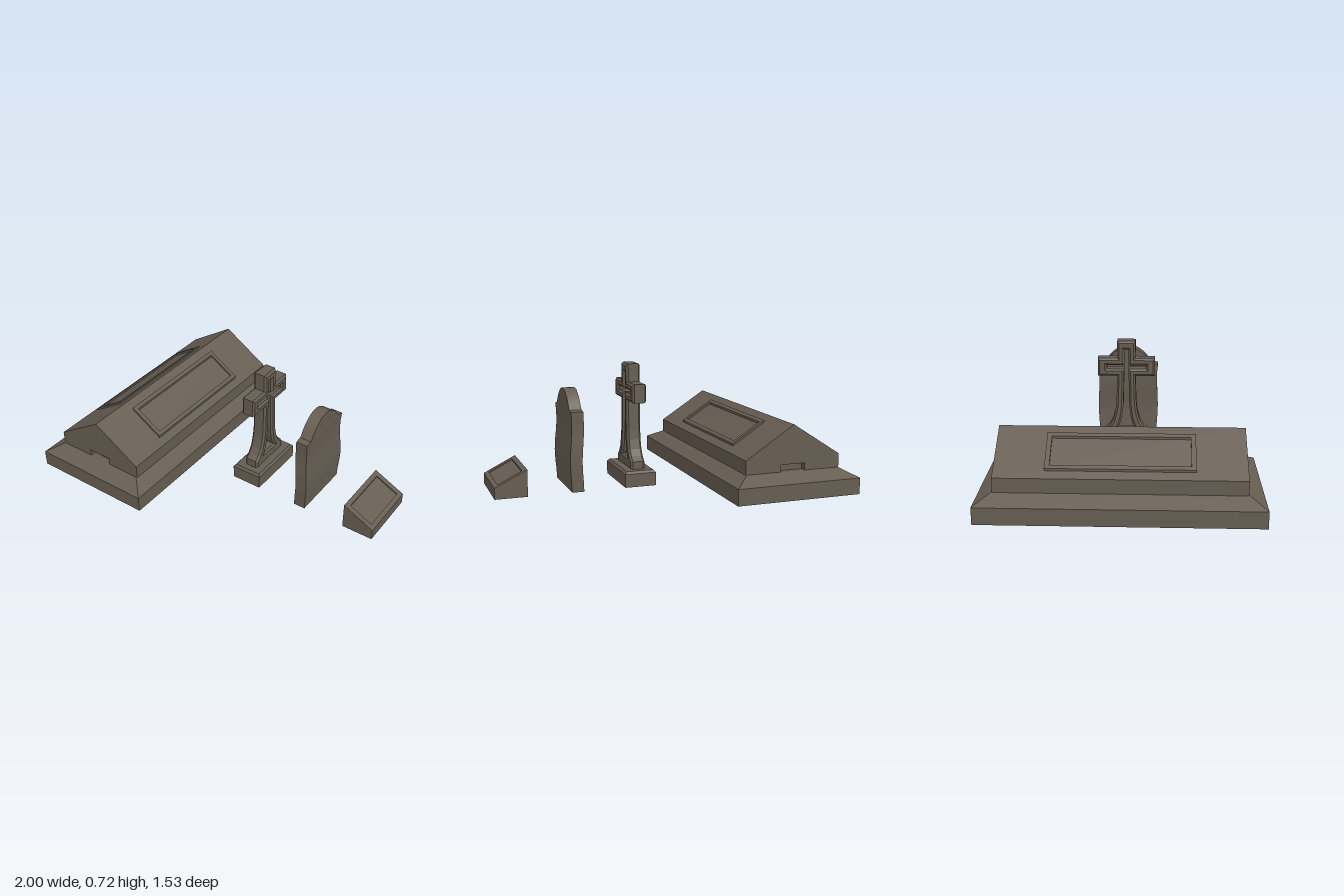
import * as THREE from 'three';
import { toCreasedNormals } from 'three/addons/utils/BufferGeometryUtils.js';

const stone = new THREE.MeshStandardMaterial({ color: 0x665d52 });
stone.name = 'weathered stone';

function add(parent, name, geometry, x = 0, y = 0, z = 0) {
  const mesh = new THREE.Mesh(geometry, stone);
  mesh.name = name;
  mesh.position.set(x, y, z);
  parent.add(mesh);
  return mesh;
}

// Moves every vertex of a geometry by a rule
function reshape(geometry, rule) {
  const p = geometry.attributes.position;
  const v = new THREE.Vector3();
  for (let i = 0; i < p.count; i++) {
    rule(v.fromBufferAttribute(p, i));
    p.setXYZ(i, v.x, v.y, v.z);
  }
  geometry.computeVertexNormals();
  return geometry;
}

// Block standing on y = 0 whose top is inset on all sides
function taperedBlock(w, h, d, inset) {
  return reshape(new THREE.BoxGeometry(w, h, d).translate(0, h / 2, 0), (v) => {
    if (v.y > h / 2) {
      v.x -= Math.sign(v.x) * inset;
      v.z -= Math.sign(v.z) * inset;
    }
  });
}

const shapeOf = (pts) => new THREE.Shape(pts.map(([x, y]) => new THREE.Vector2(x, y)));
const rect = (w, h) => [[-w, -h], [w, -h], [w, h], [-w, h]];

// Rectangular frame lying on a slope, rising along x by the given gradient
function slopedFrame(w, d, borderX, borderZ, thick, gradient) {
  const shape = shapeOf(rect(w / 2, d / 2));
  shape.holes.push(shapeOf(rect(w / 2 - borderX, d / 2 - borderZ)));
  const g = new THREE.ExtrudeGeometry(shape, { depth: thick, bevelEnabled: false });
  g.rotateX(-Math.PI / 2);
  return reshape(g, (v) => { v.y += v.x * gradient; });
}

function prism(pts, depth) {
  return new THREE.ExtrudeGeometry(shapeOf(pts), { depth, bevelEnabled: false }).translate(0, 0, -depth / 2);
}

// Mirrors a right-hand profile of [half width, height] into a closed outline
const mirrored = (half) => [...half, ...half.slice().reverse().filter(([x]) => x > 0).map(([x, y]) => [-x, y])];

function createTomb() {
  const tomb = new THREE.Group();
  tomb.name = 'tomb';
  add(tomb, 'tombPlinth', new THREE.BoxGeometry(0.765, 0.096, 1.53), 0, 0.048);
  add(tomb, 'tombPlinthSlope', taperedBlock(0.765, 0.049, 1.53, 0.09), 0, 0.096);

  // Gabled body, with a shallow notch in each end
  const notch = 0.035;
  const gable = [[0.295, 0.145], [0.295, 0.226], [0, 0.415], [-0.295, 0.226], [-0.295, 0.145]];
  add(tomb, 'tombBody', prism(gable, 1.336 - 2 * notch));
  const notched = [...gable, [-0.075, 0.145], [-0.075, 0.187], [0.075, 0.187], [0.075, 0.145]];
  for (const s of [-1, 1]) {
    add(tomb, 'tombEnd', prism(notched, notch), 0, 0, s * (0.668 - notch / 2));
    // Raised frame on each roof slope
    const slope = -s * 0.64;
    add(tomb, 'roofPanelFrame', slopedFrame(0.2, 0.796, 0.02, 0.026, 0.014, slope), s * 0.152, 0.3165);
  }
  return tomb;
}

function createCross() {
  const cross = new THREE.Group();
  cross.name = 'cross';
  add(cross, 'crossBase', new THREE.BoxGeometry(0.19, 0.08, 0.38), 0, 0.04);
  add(cross, 'crossBaseChamfer', taperedBlock(0.19, 0.014, 0.38, 0.012), 0, 0.08);

  // Pierced cross with a flared foot and chamfered edges
  const b = 0.012;
  const shape = shapeOf(mirrored([
    [0.128, 0.1], [0.128, 0.135], [0.1, 0.16], [0.075, 0.2], [0.058, 0.26], [0.05, 0.32],
    [0.044, 0.51], [0.164, 0.51], [0.164, 0.598], [0.044, 0.598], [0.044, 0.706],
  ]));
  shape.holes.push(shapeOf(mirrored([
    [0.075, 0.145], [0.055, 0.18], [0.04, 0.23], [0.031, 0.3],
    [0.025, 0.53], [0.133, 0.53], [0.133, 0.577], [0.025, 0.577], [0.025, 0.676],
  ])));
  const g = new THREE.ExtrudeGeometry(shape, {
    depth: 0.087 - 2 * b, bevelThickness: b, bevelSize: b, bevelSegments: 1,
  });
  g.translate(0, 0, -0.0435 + b).rotateY(Math.PI / 2);
  add(cross, 'crossShaft', g);
  return cross;
}

function createHeadstone() {
  // Rows of height, half width and sideways bend
  const rows = [
    [0, 0.19, 0.515], [0.06, 0.192, 0.518], [0.12, 0.196, 0.523], [0.18, 0.198, 0.525],
    [0.24, 0.197, 0.522], [0.3, 0.193, 0.516], [0.36, 0.19, 0.512], [0.42, 0.191, 0.513],
    [0.455, 0.195, 0.515], [0.472, 0.195, 0.516], [0.478, 0.155, 0.516], [0.492, 0.143, 0.516],
    [0.515, 0.127, 0.516], [0.54, 0.105, 0.516], [0.562, 0.077, 0.516], [0.58, 0.045, 0.516],
    [0.587, 0.012, 0.516],
  ];
  const n = rows.length - 1;
  const g = reshape(new THREE.BoxGeometry(1, 1, 1, 1, n, 1), (v) => {
    const [y, half, bend] = rows[Math.round((v.y + 0.5) * n)];
    v.set(bend + v.x * 0.072, y, v.z * 2 * half);
  });
  return toCreasedNormals(g, 0.6);
}

function createMarker() {
  const marker = new THREE.Group();
  marker.name = 'slantMarker';
  const sunk = 0.008;
  add(marker, 'markerBody', prism([
    [-0.095, 0], [0.095, 0], [0.095, 0.065 - sunk], [-0.095, 0.16 - sunk],
  ], 0.38));
  // Border around the sunken sloping face
  add(marker, 'markerBorder', slopedFrame(0.19, 0.38, 0.025, 0.032, sunk, -0.5), 0, 0.1125 - sunk);
  return marker;
}

export function createModel() {
  const model = new THREE.Group();
  model.name = 'graveyardSet';
  const tomb = createTomb();
  tomb.position.x = -0.6175;
  const cross = createCross();
  cross.position.x = 0.133;
  const marker = createMarker();
  marker.position.x = 0.905;
  model.add(tomb, cross, marker);
  add(model, 'headstone', createHeadstone());
  return model;
}
